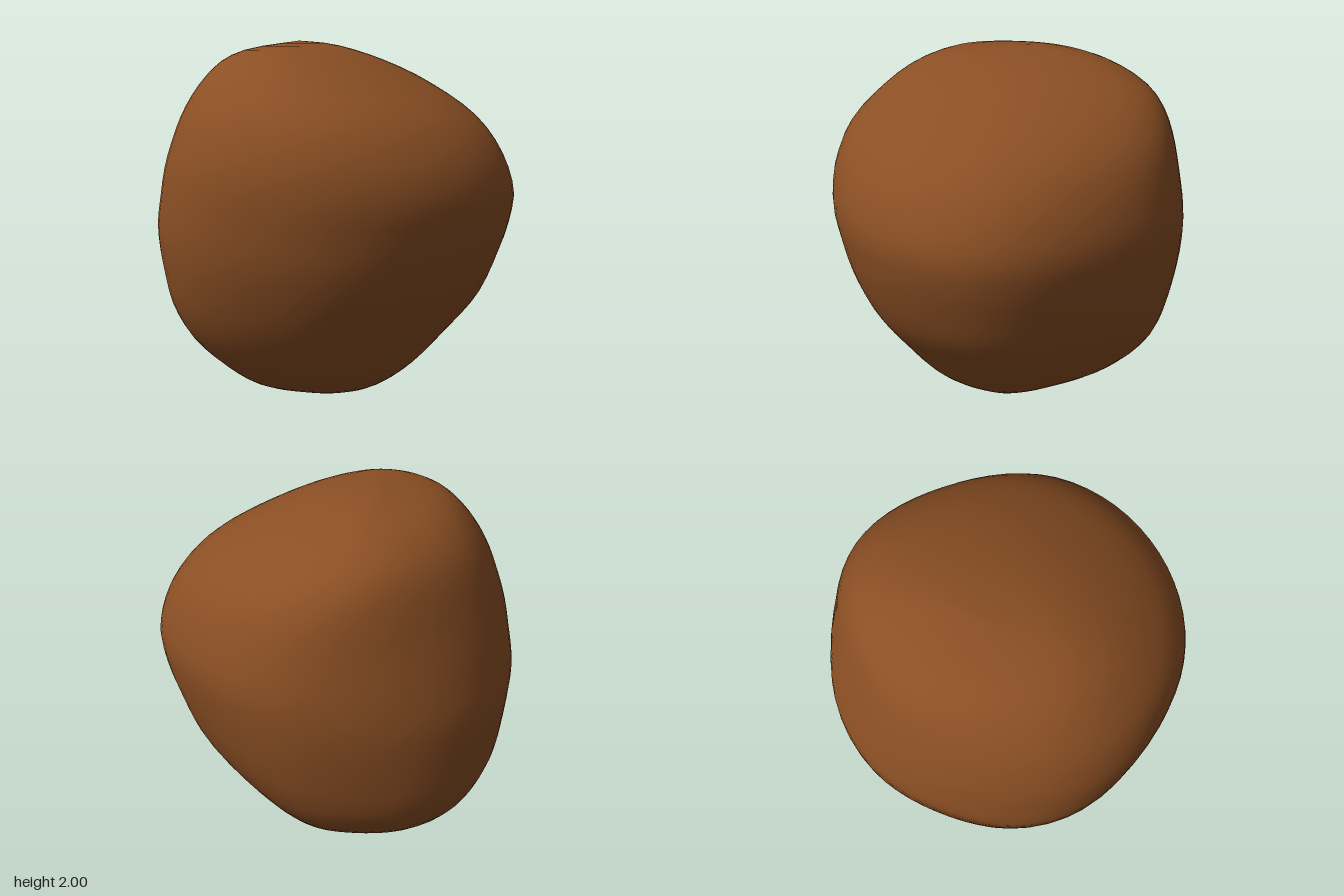
import * as THREE from 'three';

// Silhouette profiles, each listed from the base to the crown as [offset, height]
const LEFT = [[-0.05, 0], [0.14, 0.025], [0.28, 0.075], [0.44, 0.19], [0.6, 0.36], [0.8, 0.6], [0.92, 0.87],
  [0.97, 1.03], [0.99, 1.19], [0.92, 1.4], [0.76, 1.6], [0.49, 1.775], [0.22, 1.9], [-0.03, 1.975], [-0.25, 2]];
const RIGHT = [[-0.05, 0], [-0.2, 0.015], [-0.44, 0.05], [-0.63, 0.17], [-0.82, 0.33], [-0.93, 0.52], [-0.97, 0.7],
  [-1, 0.97], [-0.98, 1.13], [-0.93, 1.37], [-0.82, 1.67], [-0.68, 1.86], [-0.52, 1.95], [-0.25, 2]];
const FRONT = [[0, 0], [0.2, 0.02], [0.41, 0.095], [0.57, 0.22], [0.755, 0.47], [0.9, 0.79], [0.96, 1.05],
  [0.985, 1.24], [0.97, 1.42], [0.89, 1.62], [0.68, 1.83], [0.46, 1.94], [0.25, 1.98], [-0.05, 2]];
const BACK = [[0, 0], [-0.28, 0.04], [-0.55, 0.15], [-0.76, 0.31], [-0.87, 0.49], [-0.95, 0.81], [-0.98, 1.08],
  [-0.96, 1.31], [-0.89, 1.61], [-0.76, 1.8], [-0.52, 1.925], [-0.28, 1.985], [-0.05, 2]];

// Bulge of each diagonal as [at mid height, growth towards the base]: front left, front right, back right, back left
const BULGE = [[0, 0.03], [0.05, 0.035], [0.02, 0.08], [-0.065, -0.03]];

// Returns a function giving the offset of a smoothed profile at a height
function profile(points) {
  const samples = new THREE.SplineCurve(points.map(([r, y]) => new THREE.Vector2(r, y))).getPoints(300);
  return (y) => {
    let i = 1;
    while (i < samples.length - 1 && samples[i].y < y) i++;
    const a = samples[i - 1], b = samples[i];
    const t = THREE.MathUtils.clamp((y - a.y) / Math.max(b.y - a.y, 1e-6), 0, 1);
    return a.x + (b.x - a.x) * t;
  };
}

// Skins lopsided oval cross-sections that follow the four profiles
function stoneGeometry(rows = 40, sides = 64) {
  const [left, right, front, back] = [LEFT, RIGHT, FRONT, BACK].map(profile);
  const positions = [-0.05, 0, 0];
  const index = [];
  for (let i = 1; i < rows; i++) {
    const y = 1 - Math.cos((Math.PI * i) / rows);
    const x0 = right(y), x1 = left(y), z0 = back(y), z1 = front(y);
    for (let j = 0; j < sides; j++) {
      const a = (2 * Math.PI * j) / sides;
      const [middle, growth] = BULGE[Math.floor((4 * j) / sides)];
      const r = 0.5 * (1 + Math.sin(2 * a) ** 2 * (middle + growth * (1 - y)));
      positions.push((x0 + x1) / 2 + (x1 - x0) * r * Math.cos(a), y, (z0 + z1) / 2 + (z1 - z0) * r * Math.sin(a));
    }
  }
  const top = positions.length / 3;
  positions.push(-0.25, 2, -0.05);
  const at = (i, j) => 1 + i * sides + (j % sides);
  for (let j = 0; j < sides; j++) {
    index.push(0, at(0, j), at(0, j + 1));
    for (let i = 0; i < rows - 2; i++) {
      index.push(at(i, j), at(i + 1, j), at(i, j + 1));
      index.push(at(i, j + 1), at(i + 1, j), at(i + 1, j + 1));
    }
    index.push(at(rows - 2, j), top, at(rows - 2, j + 1));
  }
  const geometry = new THREE.BufferGeometry();
  geometry.setAttribute('position', new THREE.Float32BufferAttribute(positions, 3));
  geometry.setIndex(index);
  geometry.computeVertexNormals();
  return geometry;
}

export function createModel() {
  const group = new THREE.Group();
  group.name = 'stone';
  const brown = new THREE.MeshStandardMaterial({ color: 0x8b4f24 });
  brown.name = 'earthBrown';
  const body = new THREE.Mesh(stoneGeometry(), brown);
  body.name = 'stoneBody';
  group.add(body);
  return group;
}
